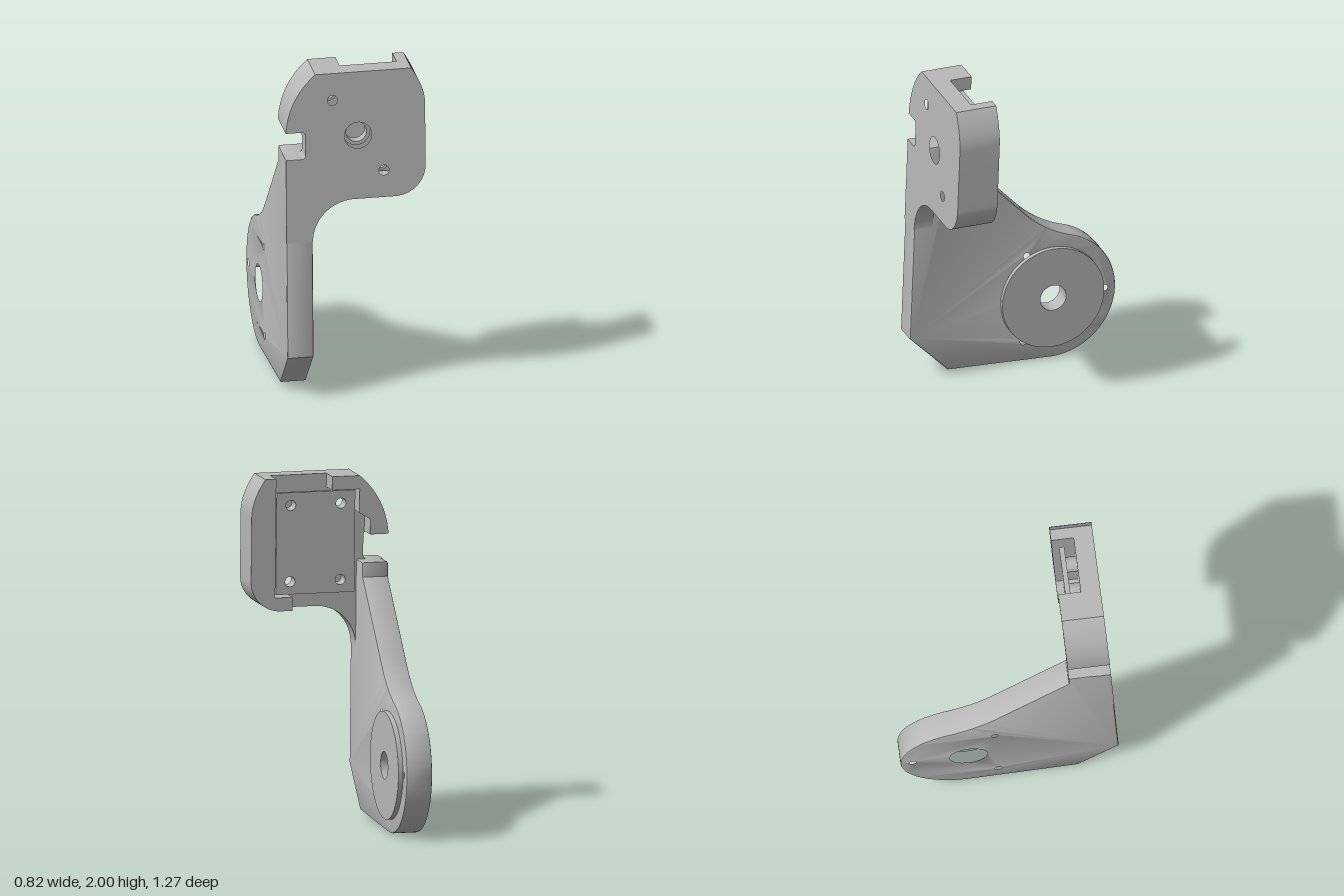
import * as THREE from 'three';
import { toCreasedNormals } from 'three/addons/utils/BufferGeometryUtils.js';

const grey = new THREE.MeshStandardMaterial({ color: 0xb8b8b8 });
grey.name = 'grey plastic';

const circle = (x, y, r) => new THREE.Path().absarc(x, y, r, 0, Math.PI * 2, true);

function polygon(points) {
  return new THREE.Shape(points.map(([x, y]) => new THREE.Vector2(x, y)));
}

function extrude(shape, depth, bevel = 0) {
  return new THREE.ExtrudeGeometry(shape, {
    depth: depth - 2 * bevel, curveSegments: 24, bevelEnabled: bevel > 0,
    bevelSize: bevel, bevelThickness: bevel, bevelOffset: -bevel, bevelSegments: 2,
  }).translate(0, 0, bevel);
}

function mesh(name, geometry) {
  const m = new THREE.Mesh(toCreasedNormals(geometry, 0.5), grey);
  m.name = name;
  return m;
}

// Plate drawn in (z, y), reaching from x = right down to x = right - depth
function sidePlate(name, shape, right, depth, bevel) {
  return mesh(name, extrude(shape, depth, bevel).rotateY(-Math.PI / 2).translate(right, 0, 0));
}

// Plate drawn in (x, y) between two z values, sheared so that its top leans back
function headPlate(name, shape, back, front) {
  const g = extrude(shape, front - back).translate(0, 0, back);
  const p = g.attributes.position;
  for (let i = 0; i < p.count; i++) p.setZ(i, p.getZ(i) - 0.0376 * (p.getY(i) - 1.6));
  return mesh(name, g);
}

function ring(x, y, outer, inner) {
  const s = new THREE.Shape().absarc(x, y, outer, 0, Math.PI * 2, false);
  s.holes.push(circle(x, y, inner));
  return s;
}

export function createModel() {
  const model = new THREE.Group();
  model.name = 'angledMount';
  const pz = -0.24, py = 0.395;

  // Side arm with round pivot end
  const arm = new THREE.Shape();
  arm.moveTo(0.589, 1.485);
  arm.lineTo(0.635, 0.27);
  arm.lineTo(0.4, 0.03);
  arm.lineTo(pz, 0);
  arm.absarc(pz, py, 0.395, -Math.PI / 2, 1.88, true);
  arm.quadraticCurveTo(-0.2, 0.825, -0.08, 0.95);
  arm.lineTo(0.345, 1.4);
  arm.lineTo(0.345, 1.485);
  arm.holes.push(circle(pz, py, 0.12));
  for (const [z, y] of [[-0.085, 0.68], [-0.565, 0.39], [-0.065, 0.13]]) {
    arm.holes.push(circle(z, y, 0.03));
  }
  model.add(sidePlate('sideArm', arm, -0.255, 0.155, 0.01));

  // Pivot disc and the step inside its bore
  model.add(sidePlate('pivotDisc', ring(pz, py, 0.315, 0.08), -0.228, 0.028, 0));
  model.add(sidePlate('boreStep', ring(pz, py, 0.125, 0.08), -0.256, 0.08, 0));

  // Head front wall, flowing into the arm
  const wall = new THREE.Shape();
  wall.moveTo(-0.235, 2);
  wall.lineTo(0.33, 2);
  wall.quadraticCurveTo(0.41, 1.88, 0.41, 1.78);
  wall.lineTo(0.41, 1.4);
  wall.absarc(0.23, 1.4, 0.18, 0, -Math.PI / 2, true);
  wall.lineTo(-0.01, 1.22);
  wall.absarc(-0.01, 0.975, 0.245, Math.PI / 2, Math.PI, false);
  wall.lineTo(-0.41, 0.975);
  wall.lineTo(-0.41, 1.485);
  wall.lineTo(-0.32, 1.485);
  wall.quadraticCurveTo(-0.295, 1.485, -0.295, 1.51);
  wall.lineTo(-0.295, 1.625);
  wall.quadraticCurveTo(-0.295, 1.65, -0.32, 1.65);
  wall.lineTo(-0.41, 1.65);
  wall.quadraticCurveTo(-0.395, 1.86, -0.235, 2);
  const cx = 0.015, cy = 1.61;
  wall.holes.push(circle(cx, cy, 0.08), circle(-0.135, 1.835, 0.03), circle(0.165, 1.385, 0.03));
  model.add(headPlate('headFrontWall', wall, 0.472, 0.586));
  model.add(headPlate('centreHoleStep', ring(cx, cy, 0.082, 0.06), 0.472, 0.53));

  // Rims around the open pocket at the back
  const leftRim = new THREE.Shape();
  leftRim.moveTo(0.265, 2);
  leftRim.lineTo(0.33, 2);
  leftRim.quadraticCurveTo(0.41, 1.88, 0.41, 1.78);
  leftRim.lineTo(0.41, 1.4);
  leftRim.absarc(0.23, 1.4, 0.18, 0, -Math.PI / 2, true);
  leftRim.lineTo(0.16, 1.22);
  leftRim.lineTo(0.16, 1.3);
  leftRim.lineTo(0.265, 1.3);
  model.add(headPlate('leftRim', leftRim, 0.34, 0.473));

  const rightRim = new THREE.Shape();
  rightRim.moveTo(-0.07, 2);
  rightRim.lineTo(-0.235, 2);
  rightRim.quadraticCurveTo(-0.395, 1.86, -0.41, 1.65);
  rightRim.lineTo(-0.3, 1.65);
  rightRim.lineTo(-0.3, 1.74);
  rightRim.lineTo(-0.235, 1.78);
  rightRim.lineTo(-0.235, 1.92);
  rightRim.lineTo(-0.07, 1.92);
  model.add(headPlate('rightRim', rightRim, 0.34, 0.473));

  // Mounting board with four corner holes on standoffs
  const board = polygon([[-0.22, 1.31], [0.25, 1.31], [0.25, 1.91], [-0.22, 1.91]]);
  for (const x of [-0.135, 0.165]) {
    for (const y of [1.385, 1.835]) {
      board.holes.push(circle(x, y, 0.03));
      model.add(headPlate('standoff', ring(x, y, 0.045, 0.03), 0.41, 0.473));
    }
  }
  model.add(headPlate('mountingBoard', board, 0.382, 0.412));
  return model;
}
